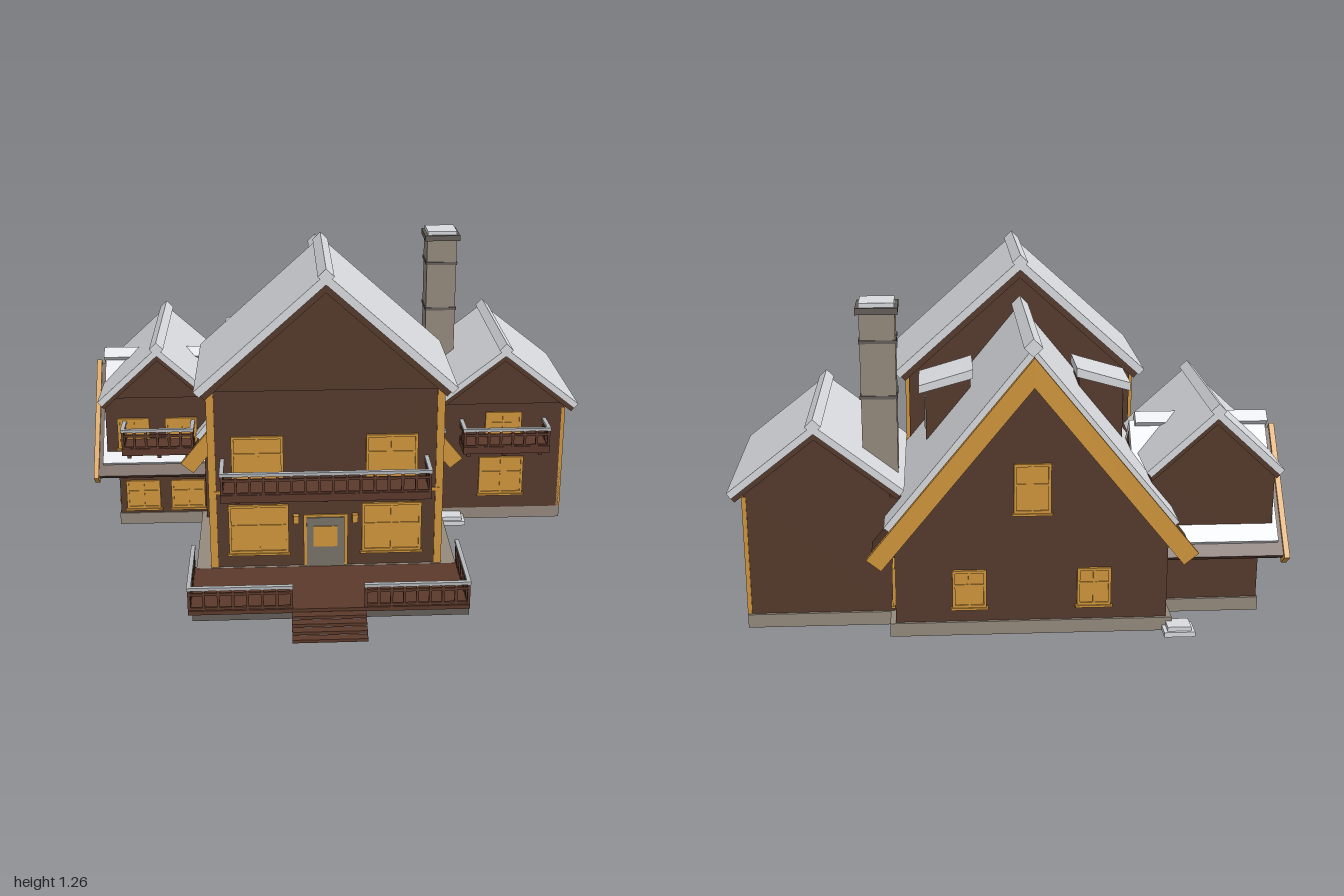
import * as THREE from 'three';

const mat = (name, color) => {
  const m = new THREE.MeshStandardMaterial({ color });
  m.name = name;
  return m;
};

export function createModel() {
  const timber = mat('dark timber', 0x55392b), deckWood = mat('deck wood', 0x5c392b);
  const snow = mat('snow', 0xd9dbdf), amber = mat('amber trim', 0xd0963c);
  const stone = mat('stone', 0x94897d), darkStone = mat('dark stone', 0x645e58);
  const grey = mat('door grey', 0x777268), rail = mat('rail grey', 0xb4b6b9);

  const house = new THREE.Group();
  house.name = 'chalet';
  const group = (name, parent = house) => {
    const g = new THREE.Group();
    g.name = name;
    parent.add(g);
    return g;
  };
  const add = (parent, name, geo, m) => {
    const mesh = new THREE.Mesh(geo, m);
    mesh.name = name;
    parent.add(mesh);
    return mesh;
  };
  // box from its limits on each axis
  const box = (parent, name, m, x0, x1, y0, y1, z0, z1) => {
    const b = add(parent, name, new THREE.BoxGeometry(x1 - x0, y1 - y0, z1 - z0), m);
    b.position.set((x0 + x1) / 2, (y0 + y1) / 2, (z0 + z1) / 2);
    return b;
  };
  // outline in x and y, pulled along z
  const prism = (parent, name, m, pts, z0, z1) => {
    const shape = new THREE.Shape(pts.map(p => new THREE.Vector2(...p)));
    const geo = new THREE.ExtrudeGeometry(shape, { depth: z1 - z0, bevelEnabled: false });
    geo.translate(0, 0, z0);
    return add(parent, name, geo, m);
  };
  // pair of sloping slabs meeting at a ridge, ends cut square
  const chevron = (parent, name, m, cx, apex, hw, k, t, z0, z1) => {
    const c = 1 / Math.hypot(1, k), s = k * c, ey = apex - hw * k;
    prism(parent, name, m, [[cx - hw, ey], [cx - hw + t * s, ey - t * c], [cx, apex - t / c],
      [cx + hw - t * s, ey - t * c], [cx + hw, ey], [cx, apex]], z0, z1);
  };
  // walls with a gable top
  const gabled = (parent, name, cx, hw, y0, eave, apex, z0, z1) =>
    prism(parent, name, timber, [[cx - hw, y0], [cx + hw, y0], [cx + hw, eave], [cx, apex], [cx - hw, eave]], z0, z1);
  const ridgeCap = (parent, cx, y, r, z0, z1) =>
    prism(parent, 'ridgeCap', snow, [[cx - r, y], [cx, y - r], [cx + r, y], [cx, y + r]], z0, z1);

  // window plate with frame, glazing bars and sill; ry turns it to its wall
  const windowAt = (parent, cx, cy, cz, w, h, ry = 0) => {
    const g = group('window', parent);
    g.position.set(cx, cy, cz);
    g.rotation.y = ry;
    const x = w / 2, y = h / 2, f = 0.01;
    box(g, 'pane', amber, -x, x, -y, y, -0.003, 0.004);
    for (const s of [-1, 1]) {
      box(g, 'frameSide', amber, s * (x - f / 2) - f / 2, s * (x - f / 2) + f / 2, -y, y, 0, 0.009);
      box(g, 'frameRail', amber, -x, x, s * (y - f / 2) - f / 2, s * (y - f / 2) + f / 2, 0, 0.009);
    }
    box(g, 'barUpright', amber, -0.004, 0.004, -y, y, 0, 0.008);
    box(g, 'barAcross', amber, -x, x, 0.01, 0.018, 0, 0.008);
    box(g, 'sill', amber, -x - 0.006, x + 0.006, -y - 0.008, -y, 0, 0.014);
  };

  // railing from one ground point to another
  const railing = (parent, ax, az, bx, bz, y0, y1) => {
    const g = group('railing', parent), len = Math.hypot(bx - ax, bz - az);
    g.position.set(ax, 0, az);
    g.rotation.y = -Math.atan2(bz - az, bx - ax);
    box(g, 'topRail', rail, -0.006, len + 0.006, y1 - 0.012, y1, -0.008, 0.008);
    box(g, 'middleRail', deckWood, 0, len, y1 - 0.034, y1 - 0.024, -0.004, 0.004);
    box(g, 'bottomRail', deckWood, 0, len, y0 + 0.006, y0 + 0.016, -0.004, 0.004);
    const n = Math.max(2, Math.round(len / 0.05));
    for (let i = 0; i <= n; i++) {
      const p = len * i / n;
      box(g, 'post', deckWood, p - 0.005, p + 0.005, y0, y1 - 0.01, -0.005, 0.005);
    }
  };
  const balcony = (x0, x1, z0, z1, y0, y1) => {
    const g = group('balcony');
    box(g, 'floor', deckWood, x0, x1, y0, y0 + 0.03, z0, z1);
    railing(g, x0 + 0.006, z1 - 0.008, x1 - 0.006, z1 - 0.008, y0 + 0.02, y1);
    for (const x of [x0 + 0.006, x1 - 0.006]) railing(g, x, z0, x, z1 - 0.008, y0 + 0.02, y1);
    for (const f of [0.08, 0.5, 0.92]) {
      const x = x0 + (x1 - x0) * f;
      box(g, 'bracket', deckWood, x - 0.008, x + 0.008, y0 - 0.03, y0, z0, z0 + (z1 - z0) * 0.6);
    }
  };

  // stone base
  const base = group('foundation');
  box(base, 'mainBase', stone, -0.56, 0.44, 0.015, 0.065, -0.8, 0.4);
  box(base, 'rightBase', stone, 0.36, 0.95, 0.015, 0.065, -0.7, -0.1);
  box(base, 'leftBase', stone, -0.905, -0.45, 0.015, 0.065, -0.65, -0.115);
  box(base, 'deckBase', darkStone, -0.56, 0.45, 0.016, 0.048, 0.4, 0.715);

  // front block
  const cx = -0.06, front = group('frontBlock');
  gabled(front, 'walls', cx, 0.43, 0.06, 0.79, 1.18, -0.1, 0.39);
  prism(front, 'gable', timber, [[cx - 0.44, 0.785], [cx + 0.44, 0.785], [cx, 1.185]], 0.385, 0.398);
  chevron(front, 'roofBoards', timber, cx, 1.205, 0.465, 0.9, 0.03, -0.12, 0.43);
  chevron(front, 'snowRoof', snow, cx, 1.237, 0.485, 0.9, 0.03, -0.13, 0.44);
  ridgeCap(front, cx, 1.226, 0.03, -0.135, 0.443);
  box(front, 'bandFront', amber, -0.49, 0.37, 0.37, 0.384, 0.38, 0.395);
  for (const s of [-1, 1]) {
    const e = cx + s * 0.43;
    for (const z of [0.38, -0.075])
      box(front, 'cornerPost', amber, e - 0.014, e + 0.014, 0.065, 0.78, z - 0.014, z + 0.014);
    box(front, 'bandSide', amber, e - 0.005, e + 0.005, 0.37, 0.384, -0.08, 0.39);
  }
  for (const x of [-0.318, 0.19]) windowAt(front, x, 0.225, 0.391, 0.228, 0.2);
  for (const x of [-0.318, 0.188]) windowAt(front, x, 0.52, 0.391, 0.195, 0.17);

  // front door and lamps
  const door = group('door');
  box(door, 'doorFrame', amber, -0.147, 0.022, 0.065, 0.28, 0.385, 0.396);
  box(door, 'doorLeaf', grey, -0.135, 0.01, 0.065, 0.27, 0.39, 0.401);
  box(door, 'doorWindow', amber, -0.11, -0.017, 0.15, 0.235, 0.398, 0.405);
  for (const x of [-0.175, 0.05]) box(door, 'lamp', amber, x - 0.011, x + 0.011, 0.25, 0.282, 0.39, 0.41);

  // rear block with steep roof
  const rear = group('rearBlock');
  gabled(rear, 'walls', cx, 0.48, 0.06, 0.37, 0.965, -0.79, -0.06);
  chevron(rear, 'roofBoards', timber, cx, 1.02, 0.56, 1.23, 0.05, -0.845, -0.015);
  chevron(rear, 'snowRoof', snow, cx, 1.06, 0.515, 1.23, 0.03, -0.8, -0.06);
  ridgeCap(rear, cx, 1.06, 0.032, -0.805, -0.1);
  for (const z of [-0.86, -0.02]) chevron(rear, 'bargeBoard', amber, cx, 1.04, 0.575, 1.23, 0.065, z, z + 0.02);
  for (const x of [-0.28, 0.16]) windowAt(rear, x, 0.19, -0.791, 0.12, 0.14, Math.PI);
  windowAt(rear, cx, 0.56, -0.791, 0.13, 0.18, Math.PI);
  windowAt(rear, 0.421, 0.2, -0.74, 0.1, 0.14, Math.PI / 2);

  // shed dormers on both slopes
  for (const s of [-1, 1]) {
    const d = group('dormer'), X = v => cx + s * v;
    prism(d, 'dormerWalls', timber, [[X(0.2), 0.6], [X(0.365), 0.56], [X(0.365), 0.805], [X(0.2), 0.86]], -0.395, -0.21);
    prism(d, 'dormerSnow', snow, [[X(0.19), 0.85], [X(0.39), 0.795], [X(0.39), 0.825], [X(0.22), 0.875], [X(0.19), 0.885]], -0.41, -0.195);
    box(d, 'dormerWindow', grey, X(0.366) - 0.004, X(0.366) + 0.004, 0.65, 0.77, -0.37, -0.235);
  }

  // right wing
  const right = group('rightWing'), rx = 0.69;
  gabled(right, 'walls', rx, 0.255, 0.06, 0.53, 0.735, -0.69, -0.1);
  box(right, 'innerWall', timber, 0.37, 0.5, 0.06, 0.5, -0.69, -0.1);
  prism(right, 'gable', timber, [[rx - 0.26, 0.535], [rx + 0.26, 0.535], [rx, 0.74]], -0.105, -0.092);
  chevron(right, 'roofBoards', timber, rx, 0.752, 0.295, 0.79, 0.022, -0.72, -0.08);
  chevron(right, 'snowRoof', snow, rx, 0.78, 0.307, 0.79, 0.025, -0.73, -0.07);
  ridgeCap(right, rx, 0.774, 0.028, -0.733, -0.067);
  for (const z of [-0.112, -0.682]) box(right, 'cornerPost', amber, 0.936, 0.951, 0.065, 0.51, z - 0.012, z + 0.012);
  windowAt(right, 0.695, 0.435, -0.099, 0.15, 0.125);
  windowAt(right, 0.693, 0.215, -0.099, 0.185, 0.165);
  windowAt(right, 0.946, 0.405, -0.4, 0.18, 0.145, Math.PI / 2);
  for (const z of [-0.288, -0.508]) windowAt(right, 0.946, 0.203, z, 0.165, 0.15, Math.PI / 2);

  // left wing: steep roof along x below a cross gable
  const left = group('leftWing'), lx = -0.72;
  box(left, 'lowerWalls', timber, -0.9, -0.45, 0.06, 0.27, -0.64, -0.12);
  const turned = group('sideGable', left);
  turned.rotation.y = -Math.PI / 2;
  gabled(turned, 'gableWall', -0.39, 0.25, 0.2, 0.27, 0.58, 0.45, 0.9);
  chevron(turned, 'roofBoards', timber, -0.39, 0.64, 0.315, 1.23, 0.03, 0.45, 0.98);
  chevron(turned, 'snowRoof', snow, -0.39, 0.676, 0.302, 1.23, 0.03, 0.45, 0.96);
  ridgeCap(turned, -0.39, 0.675, 0.034, 0.47, 0.965);
  chevron(turned, 'bargeBoard', amber, -0.39, 0.655, 0.33, 1.23, 0.06, 0.978, 0.998);
  gabled(left, 'upperWalls', lx, 0.222, 0.25, 0.57, 0.76, -0.65, -0.12);
  prism(left, 'gable', timber, [[lx - 0.225, 0.58], [lx + 0.225, 0.58], [lx, 0.765]], -0.125, -0.112);
  chevron(left, 'roofBoards', timber, lx, 0.773, 0.237, 0.92, 0.022, -0.68, -0.095);
  chevron(left, 'snowRoof', snow, lx, 0.8, 0.247, 0.92, 0.025, -0.69, -0.085);
  ridgeCap(left, lx, 0.795, 0.028, -0.693, -0.082);
  for (const x of [-0.83, -0.635]) windowAt(left, x, 0.425, -0.119, 0.13, 0.13);
  for (const x of [-0.803, -0.617]) windowAt(left, x, 0.15, -0.119, 0.14, 0.125);
  for (let i = 0; i < 4; i++) windowAt(left, -0.901, 0.16, -0.54 + i * 0.1, 0.075, 0.14, -Math.PI / 2);

  // chimney
  const chimney = group('chimney');
  box(chimney, 'stack', stone, 0.405, 0.53, 0.4, 1.14, -0.592, -0.465);
  for (const y of [0.83, 1.03]) box(chimney, 'ring', darkStone, 0.401, 0.534, y, y + 0.012, -0.596, -0.461);
  box(chimney, 'cap', darkStone, 0.395, 0.543, 1.135, 1.158, -0.605, -0.455);
  box(chimney, 'capSnow', snow, 0.407, 0.53, 1.155, 1.174, -0.593, -0.467);

  // deck with railings and steps
  const deck = group('deck');
  box(deck, 'floor', deckWood, -0.575, 0.45, 0.048, 0.064, 0.385, 0.73);
  for (const [a, b] of [[-0.57, -0.2], [0.07, 0.445]]) railing(deck, a, 0.722, b, 0.722, 0.06, 0.157);
  for (const x of [-0.57, 0.445]) railing(deck, x, 0.39, x, 0.722, 0.06, 0.157);
  for (let i = 0; i < 4; i++)
    box(deck, 'step', deckWood, -0.2, 0.07, 0.042 - i * 0.014, 0.054 - i * 0.014, 0.735 + i * 0.031, 0.768 + i * 0.031);

  // balconies
  balcony(-0.455, 0.325, 0.39, 0.535, 0.4, 0.515);
  balcony(0.515, 0.87, -0.1, 0.02, 0.36, 0.468);
  balcony(-0.87, -0.58, -0.12, -0.005, 0.37, 0.482);

  // snowy doorsteps at the two inner corners
  for (const [x, z] of [[0.485, -0.075], [-0.58, -0.815]]) {
    const g = group('doorstep');
    box(g, 'lowerStep', snow, x - 0.055, x + 0.055, 0.016, 0.034, z - 0.045, z + 0.045);
    box(g, 'upperStep', snow, x - 0.042, x + 0.042, 0.034, 0.05, z - 0.035, z + 0.035);
  }
  return house;
}
